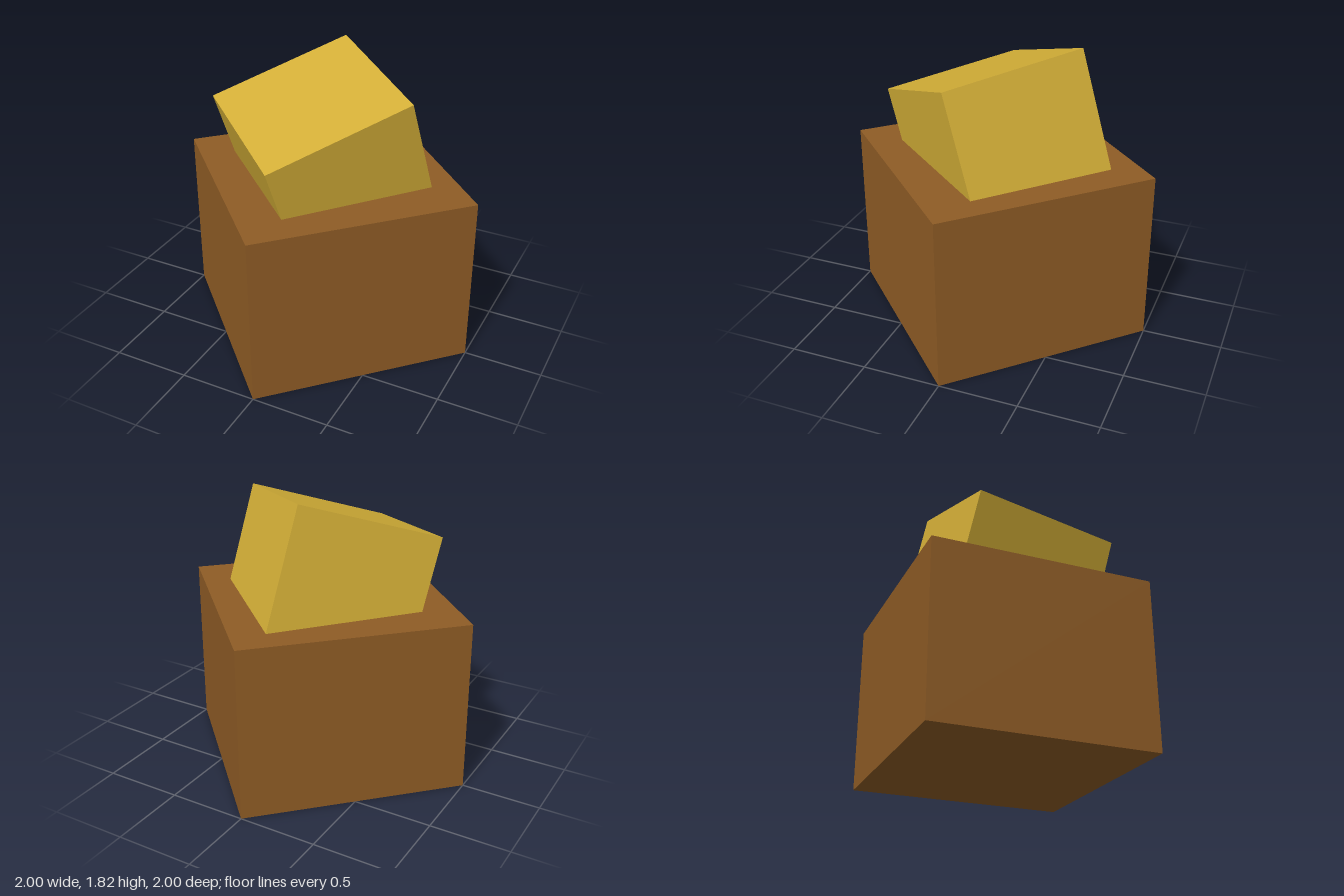
import * as THREE from 'three';

const brown = new THREE.MeshStandardMaterial({ name: 'brown', color: 0x8f5c25 });
const gold = new THREE.MeshStandardMaterial({ name: 'gold', color: 0xd4af37 });

function addBox(group, name, size, position, rotation, material) {
  const mesh = new THREE.Mesh(new THREE.BoxGeometry(...size), material);
  mesh.name = name;
  mesh.position.set(...position);
  mesh.rotation.set(...rotation);
  group.add(mesh);
}

export function createModel() {
  const model = new THREE.Group();
  model.name = 'tiltedCubeOnPedestal';

  // Square pedestal with one corner facing forward
  addBox(model, 'pedestal', [Math.SQRT2, 1.1, Math.SQRT2], [0, 0.55, 0], [0, Math.PI / 4, 0], brown);

  // Tilted cube sunk into the pedestal top
  addBox(model, 'tiltedCube', [0.938, 0.938, 0.938], [0, 1.18, 0], [0.402, -0.697, 0.141], gold);

  return model;
}
